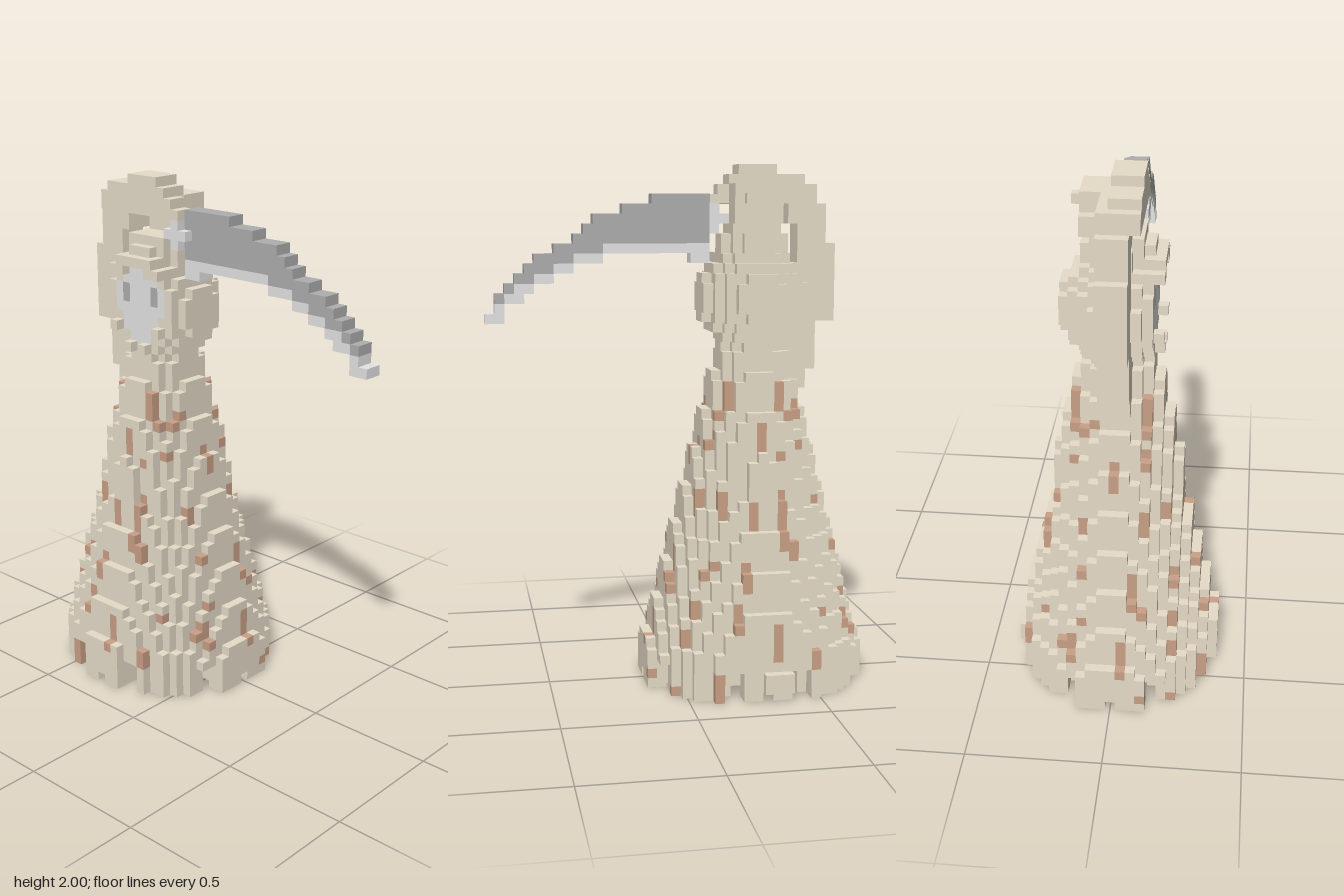
import * as THREE from 'three';

const S = 2 / 54;          // cube size
const CX = 11, CZ = 10;    // centre column of the robe
const SIZE = [39, 54, 21];

export function createModel() {
  const mat = (name, color) => Object.assign(new THREE.MeshStandardMaterial({ color }), { name });
  const cloth = mat('cloth', 0xe6dcc8), rust = mat('rustStain', 0xc9a086);
  const pale = mat('paleGrey', 0xe5e5e6), steel = mat('darkGrey', 0xaeaeae);
  const parts = {
    robe: cloth, robeStains: rust, hood: cloth, face: pale, eyes: steel,
    loopArm: cloth, hand: cloth, grip: pale, blade: steel, bladeEdge: pale,
  };

  const cells = new Map();
  const key = (x, y, z) => x + SIZE[0] * (y + SIZE[1] * z);
  const inside = (x, y, z) => x >= 0 && y >= 0 && z >= 0 && x < SIZE[0] && y < SIZE[1] && z < SIZE[2];
  const has = (x, y, z) => inside(x, y, z) && cells.has(key(x, y, z));
  const put = (part, x, y, z) => inside(x, y, z) && cells.set(key(x, y, z), { part, p: [x, y, z] });
  const fill = (part, x0, x1, y0, y1, z0, z1) => {   // inclusive ranges
    for (let x = x0; x <= x1; x++)
      for (let y = y0; y <= y1; y++)
        for (let z = z0; z <= z1; z++) put(part, x, y, z);
  };
  const disc = (part, y, rx, rz, keep) => {
    for (let x = -12; x <= 12; x++)
      for (let z = -11; z <= 11; z++)
        if ((x / rx) ** 2 + (z / rz) ** 2 <= 1 && keep(x, z)) put(part, CX + x, y, CZ + z);
  };

  // Robe: tapering elliptical cone, with pleat slots cut into the hem
  for (let y = 0; y < 37; y++) {
    const r = Math.min(11.5, 12.24 - 0.25 * y);
    const flat = THREE.MathUtils.clamp((25 - y) / 5, 0, 1);
    disc('robe', y, r, r - flat, (x, z) => {
      if (z === 10 && Math.abs(x) > 2) return false;
      if (z === -10 && (y < 1 || y > 2 || x < -2 || x > 0)) return false;
      if (y === 0 && (x === 0 || z === 0)) return false;
      const dist = Math.hypot(x, z), turn = Math.atan2(z, x) / (Math.PI / 4) + 8;
      const pleat = Math.abs(turn % 1 - 0.5) * (Math.PI / 4) * dist;
      return !(y < 3 && dist > 5 + y && pleat < 0.9);
    });
  }

  // Rust stains: upright marks on the outermost cubes, [across, row, height]
  const frontStains = [[-3, 30, 2], [2, 30, 2], [4, 28, 2], [0, 25, 3], [2, 24, 1], [-4, 18, 3],
    [-1, 17, 3], [2, 15, 6], [-2, 11, 3], [-3, 7, 3], [1, 4, 4], [5, 3, 2], [-5, 2, 1], [-9, 0, 1],
    [-9, 10, 1], [-7, 8, 2], [8, 14, 1], [9, 6, 1], [6, 8, 1], [-11, 1, 1], [9, 9, 1]];
  const sideStains = [[0, 23, 3], [-4, 28, 2], [3, 28, 2], [-4, 25, 1], [3, 25, 2], [3, 18, 3],
    [-3, 18, 2], [-7, 14, 2], [2, 11, 4], [6, 12, 2], [-4, 5, 3], [1, 4, 4], [6, 5, 2], [-7, 8, 1],
    [9, 0, 3], [6, 8, 1]];
  const sides = [[0, 1, frontStains], [1, 0, sideStains], [0, -1, frontStains], [-1, 0, sideStains]];
  for (const [dx, dz, stains] of sides)
    for (const [off, row, tall] of stains)
      for (let y = row; y < row + tall; y++)
        for (let d = 12; d >= 0; d--) {
          const x = CX + dx * d + dz * off, z = CZ + dz * d - dx * off;
          if (has(x, y, z)) { put('robeStains', x, y, z); break; }
        }

  // Hood: ball flattened at the front, with a peak and a brim round the face
  for (let dy = -5; dy <= 4; dy++) {
    const r = Math.sqrt(30.25 - dy * dy);
    disc('hood', 40 + dy, r, r, (x, z) => z <= 3);
  }
  disc('hood', 45, 3.6, 3.6, () => true);
  disc('hood', 46, 3.6, 3.3, () => true);
  disc('hood', 47, 2.9, 2.9, () => true);
  fill('hood', CX - 2, CX + 2, 48, 49, CZ - 3, CZ - 1);
  fill('hood', CX - 3, CX + 3, 44, 44, CZ + 3, CZ + 4);
  fill('hood', CX - 2, CX + 2, 45, 45, CZ + 3, CZ + 4);
  fill('hood', CX - 1, CX + 1, 36, 36, CZ + 3, CZ + 4);
  for (const x of [CX - 3, CX + 3]) fill('hood', x, x, 38, 38, CZ + 3, CZ + 4);

  // Face set into the hood, with eyes
  [0, 1, 2, 2, 3, 3, 3, 2, 1].forEach((w, n) => {
    const y = 36 + n;
    for (let x = -w; x <= w; x++) {
      cells.delete(key(CX + x, y, CZ + 4));
      const eye = Math.abs(x) === 2 && (y === 41 || y === 42);
      put(eye ? 'eyes' : 'face', CX + x, y, CZ + 3);
    }
  });

  // Looped arm rising beside and over the head: [first row, last row, left, right, back, front]
  const loop = [[31, 32, 6, 7, 9, 11], [33, 37, 5, 8, 9, 11], [38, 45, 3, 6, 9, 11], [46, 47, 4, 6, 9, 11],
    [48, 49, 4, 7, 9, 11], [50, 51, 5, 12, 9, 12], [50, 50, 13, 15, 11, 12], [51, 51, 13, 14, 11, 12],
    [52, 52, 6, 13, 10, 12], [53, 53, 9, 12, 10, 12]];
  for (const [y0, y1, x0, x1, z0, z1] of loop)
    for (let y = y0; y <= y1; y++)
      for (let x = x0; x <= x1; x++)
        for (let z = z0; z <= z1; z++) if (!has(x, y, z)) put('loopArm', x, y, z);

  // Hand behind the loop, and pale cross-shaped grip
  fill('hand', 10, 13, 50, 51, 7, 9);
  fill('hand', 12, 12, 50, 50, 6, 6);
  fill('grip', 14, 16, 48, 48, 10, 12);
  fill('grip', 15, 15, 47, 49, 10, 12);

  // Curved blade: [first column, last column, bottom, edge top, blade top]
  const blade = [[16, 17, 44, 46, 51], [18, 21, 45, 46, 51], [22, 24, 45, 46, 50], [25, 26, 45, 46, 49],
    [27, 27, 44, 45, 49], [28, 28, 44, 45, 48], [29, 29, 44, 45, 47], [30, 31, 43, 44, 46],
    [32, 33, 42, 43, 45], [34, 34, 41, 42, 44], [35, 35, 40, 42, 43], [36, 36, 40, 41, 42],
    [37, 37, 38, 40, 41], [38, 38, 38, 39, 39]];
  for (const [x0, x1, bottom, edge, top] of blade) {
    fill('bladeEdge', x0, x1, bottom, edge - 1, 10, 11);
    fill('blade', x0, x1, edge, top - 1, 10, 11);
  }

  // Turn the exposed cube faces of each part into one mesh
  const data = {};
  for (const { part, p } of cells.values()) {
    const out = (data[part] ??= { pos: [], nor: [] });
    for (let a = 0; a < 3; a++)
      for (const s of [-1, 1]) {
        const q = [...p];
        q[a] += s;
        if (has(...q)) continue;
        const corners = [[0, 0], [1, 0], [1, 1], [0, 1]].map(([u, v]) => {
          const c = [...p];
          c[a] += s > 0 ? 1 : 0;
          c[(a + 1) % 3] += u;
          c[(a + 2) % 3] += v;
          return [(c[0] - SIZE[0] / 2) * S, c[1] * S, (c[2] - SIZE[2] / 2) * S];
        });
        if (s < 0) corners.reverse();
        const n = [0, 0, 0];
        n[a] = s;
        for (const i of [0, 1, 2, 0, 2, 3]) {
          out.pos.push(...corners[i]);
          out.nor.push(...n);
        }
      }
  }

  const group = new THREE.Group();
  group.name = 'robedFigure';
  for (const [name, { pos, nor }] of Object.entries(data)) {
    const geo = new THREE.BufferGeometry();
    geo.setAttribute('position', new THREE.Float32BufferAttribute(pos, 3));
    geo.setAttribute('normal', new THREE.Float32BufferAttribute(nor, 3));
    const mesh = new THREE.Mesh(geo, parts[name]);
    mesh.name = name;
    group.add(mesh);
  }
  return group;
}
